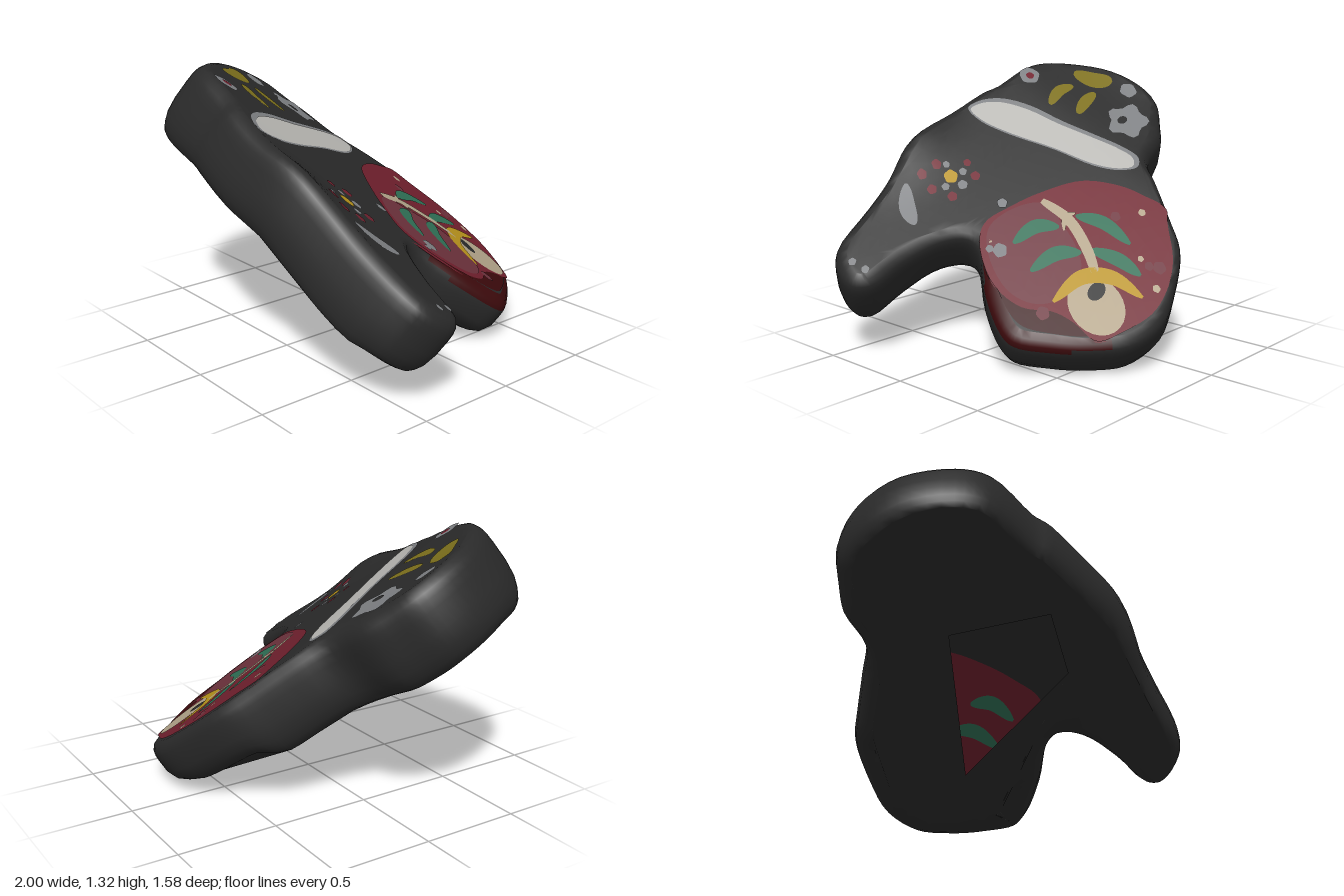
import * as THREE from 'three';
import { mergeVertices } from 'three/addons/utils/BufferGeometryUtils.js';

const mat = (name, color) => {
  const m = new THREE.MeshStandardMaterial({ color, side: THREE.DoubleSide });
  m.name = name;
  return m;
};

// Tilted upper face: a plane that sags at the left lobe and swells at the front rim
const N = new THREE.Vector3(0.52, 1, -0.55).normalize();
const height = (x, z) => 0.78 - 0.52 * x + 0.55 * z
  - 0.045 * THREE.MathUtils.smoothstep(-x, 0.3, 0.8)
  + 0.07 * Math.exp(-((x - 0.37) ** 2) / 0.05 - ((z - 0.66) ** 2) / 0.03);
const onFace = (x, z, lift = 0) => new THREE.Vector3(x, height(x, z), z).addScaledVector(N, lift);

// Smooth closed loop through [x, z] points
function loop(pts, count) {
  const c = new THREE.CatmullRomCurve3(pts.map(p => new THREE.Vector3(p[0], 0, p[1])), true, 'centripetal');
  return c.getPoints(count).slice(0, count).map(v => [v.x, v.z]);
}

function ellipse(x, z, rx, rz, wobble = 0) {
  return Array.from({ length: 24 }, (_, i) => {
    const a = i / 24 * Math.PI * 2, r = 1 + wobble * Math.sin(a * 5 + x * 9);
    return [x + rx * r * Math.cos(a), z + rz * r * Math.sin(a)];
  });
}

// Brush stroke: a ribbon along a path, with rounded or pointed ends
function stroke(pts, width, power = 0.5) {
  const c = new THREE.CatmullRomCurve3(pts.map(p => new THREE.Vector3(p[0], 0, p[1])));
  const a = [], b = [], n = 20;
  for (let i = 0; i <= n; i++) {
    const p = c.getPoint(i / n), t = c.getTangent(i / n);
    const w = width / 2 * Math.pow(Math.max(0.03, Math.sin(Math.PI * i / n)), power);
    a.push([p.x - t.z * w, p.z + t.x * w]);
    b.unshift([p.x + t.z * w, p.z - t.x * w]);
  }
  return [...a, ...b];
}

// Triangles of a flat outline, all turned to face up (or down)
function fill(contour, holes, up) {
  const v = l => l.map(p => new THREE.Vector2(p[0], p[1]));
  const all = [...contour, ...holes.flat()];
  return THREE.ShapeUtils.triangulateShape(v(contour), holes.map(v)).map(([a, b, c]) => {
    const [A, B, C] = [all[a], all[b], all[c]];
    const cross = (B[0] - A[0]) * (C[1] - A[1]) - (B[1] - A[1]) * (C[0] - A[0]);
    return (cross < 0) === up ? [a, b, c] : [a, c, b];
  });
}

// Halves the longest edge until the triangle is small enough to follow the face
function split(a, b, c, out) {
  const len = (p, q) => Math.hypot(p[0] - q[0], p[1] - q[1]);
  const ab = len(a, b), bc = len(b, c), ca = len(c, a), max = Math.max(ab, bc, ca);
  if (max < 0.1) out.push(a, b, c);
  else if (max > ab) split(b, c, a, out);
  else {
    const m = [(a[0] + b[0]) / 2, (a[1] + b[1]) / 2];
    split(a, m, c, out);
    split(m, b, c, out);
  }
}

function faceTriangles(outline) {
  const out = [];
  fill(outline, [], true).forEach(([a, b, c]) => split(outline[a], outline[b], outline[c], out));
  return out;
}

function makeGeometry(points, index) {
  let g = new THREE.BufferGeometry().setFromPoints(points);
  g.setIndex(index);
  g = mergeVertices(g, 1e-5);
  g.computeVertexNormals();
  return g;
}

const OUTLINE = [
  [0.13, -0.82], [0.31, -0.78], [0.45, -0.67], [0.58, -0.53], [0.68, -0.39], [0.68, -0.31],
  [0.61, -0.15], [0.49, 0.02], [0.49, 0.09], [0.58, 0.165], [0.78, 0.225], [0.96, 0.245],
  [1.03, 0.31], [1.03, 0.41], [0.97, 0.5], [0.73, 0.56], [0.57, 0.59], [0.41, 0.64],
  [0.16, 0.665], [-0.14, 0.65], [-0.24, 0.62], [-0.49, 0.595], [-0.64, 0.51], [-0.81, 0.31],
  [-0.875, 0.10], [-0.855, -0.05], [-0.77, -0.14], [-0.68, -0.21], [-0.50, -0.26],
  [-0.41, -0.39], [-0.32, -0.53], [-0.22, -0.67], [-0.06, -0.76]];

// Rounded edge of the slab: [inset, depth] from top to bottom
const EDGE = [[0.07, 0], [0.035, 0.012], [0.012, 0.04], [0.003, 0.07], [0, 0.11], [0, 0.2],
  [0.012, 0.27], [0.035, 0.315], [0.06, 0.345], [0.09, 0.36]];

// Edge character around the rim: [x, z, depth, lower rounding, upper rounding]
const RIM = [
  [0.66, -0.3, 0.79, 2, 1], [0.3, -0.78, 0.77, 1.5, 0.8], [-0.1, -0.74, 0.8, 1.3, 0.5],
  [-0.36, -0.46, 1.04, 1, 0.5], [-0.65, -0.21, 1.13, 1, 1], [-0.88, 0.1, 1.1, 1, 0.7],
  [-0.6, 0.56, 1.15, 0.8, 0.8], [0.1, 0.66, 1.05, 0.9, 0.9], [0.7, 0.56, 1.04, 0.6, 0.9],
  [1.03, 0.38, 0.94, 0.8, 0.9], [0.49, 0.06, 0.87, 1, 0.8]];

function rimAt(p) {
  const sum = [0, 0, 0];
  let total = 0;
  for (const [x, z, ...v] of RIM) {
    const w = 1 / (((p.x - x) ** 2 + (p.z - z) ** 2) ** 2 + 1e-4);
    total += w;
    v.forEach((k, i) => { sum[i] += k * w; });
  }
  return sum.map(s => s / total);
}

function bodyGeometry() {
  const n = 132, base = loop(OUTLINE, n).map(p => onFace(p[0], p[1]));
  const pts = [];
  for (const [inset, depth] of EDGE) {
    base.forEach((p, i) => {
      const t = base[(i + 1) % n].clone().sub(base[(i + n - 1) % n]).normalize();
      const [deep, low, high] = rimAt(p);
      const q = p.clone().addScaledVector(N.clone().cross(t), -inset * (depth > 0.15 ? low : high));
      pts.push(onFace(q.x, q.z, -depth * deep));
    });
  }
  const plain = [], painted = [];
  for (let r = 0; r < EDGE.length - 1; r++) {
    for (let i = 0; i < n; i++) {
      const j = (i + 1) % n, a = r * n + i, b = r * n + j, c = a + n, d = b + n;
      const { x, z } = base[i];
      const rim = x > 0.36 && z < -0.04 && r < (x > 0.5 && z < -0.12 ? 3 : 2);
      (rim ? painted : plain).push(a, b, c, b, d, c);
    }
  }
  const flat = l => l.map(p => [p.x, p.z]);
  const last = (EDGE.length - 1) * n;
  // underside with a four-cornered opening
  const hole = [[-0.4, 0.22], [-0.12, 0.61], [0.12, 0.5], [0.09, -0.17]];
  const bottom = fill(flat(pts.slice(last)), [hole], false);
  hole.forEach(([x, z]) => pts.push(new THREE.Vector3(x, 0.78 - 0.36 / N.y - 0.52 * x + 0.55 * z, z)));
  bottom.forEach(t => plain.push(...t.map(k => k + last)));
  // upper face
  faceTriangles(flat(pts.slice(0, n))).forEach(([x, z]) => plain.push(pts.push(onFace(x, z)) - 1));
  const g = makeGeometry(pts, [...plain, ...painted]);
  g.addGroup(0, plain.length, 0);
  g.addGroup(plain.length, painted.length, 1);
  return g;
}

export function createModel() {
  const charcoal = mat('charcoal', 0x2a2a2a), white = mat('white', 0xb9b8b4), grey = mat('grey', 0x7e8083);
  const crimson = mat('crimson', 0x70202d), dusty = mat('dustyRed', 0x6d323c), dark = mat('darkRed', 0x3c0a0c);
  const beige = mat('beige', 0xb3a48a), green = mat('green', 0x2f7056);
  const olive = mat('olive', 0x7d701c), gold = mat('gold', 0xb8931c);

  const model = new THREE.Group();
  const content = new THREE.Group();
  content.name = 'paintedStone';
  model.add(content);

  const add = (name, geometry, material) => {
    const m = new THREE.Mesh(geometry, material);
    m.name = name;
    content.add(m);
  };
  const paint = (name, outline, material, layer = 1, inside = false) => {
    const tris = faceTriangles(outline), index = tris.map((_, i) => i);
    const at = lift => makeGeometry(tris.map(p => onFace(p[0], p[1], lift)), index);
    add(name, at(0.001 + layer * 0.002), material);
    if (inside) add(name + 'Inside', at(-0.001 - layer * 0.002), material);
  };
  const dots = (name, list, r, material, layer = 1) =>
    list.forEach(([x, z, s = 1]) => paint(name, ellipse(x, z, r * s, r * s, 0.06), material, layer));

  add('stone', bodyGeometry(), [charcoal, dark]);

  // Red field with its darker border
  paint('fieldBorder', loop([[0.34, -0.7], [0.43, -0.62], [0.54, -0.49], [0.61, -0.36], [0.56, -0.17],
    [0.46, 0.0], [0.36, -0.1], [0.32, -0.5]], 60), dark, 1);
  paint('redField', loop([[-0.315, -0.5], [-0.25, -0.56], [-0.13, -0.68], [0, -0.745], [0.14, -0.765],
    [0.3, -0.72], [0.42, -0.66], [0.43, -0.54], [0.46, -0.44], [0.55, -0.32], [0.565, -0.15], [0.47, 0.03],
    [0.38, 0.08], [0.23, 0.05], [0.08, 0], [-0.13, -0.11], [-0.25, -0.27], [-0.29, -0.38]], 80), crimson, 2, true);
  paint('fieldShade', loop([[0.22, -0.4], [0.4, -0.42], [0.5, -0.35], [0.54, -0.22], [0.48, -0.04],
    [0.38, 0.05], [0.2, 0.02], [0.1, -0.06], [0.12, -0.2], [0.16, -0.32]], 50), dusty, 3);
  dots('dustySpot', [[0.5, -0.41], [-0.05, -0.66], [-0.1, -0.35, 0.8], [-0.02, -0.62, 0.7]], 0.03, dusty, 3);
  dots('beigeSpot', [[-0.21, -0.43], [-0.02, -0.57, 0.8], [0.04, -0.71], [0.14, -0.55, 0.7], [0.43, 0, 0.7]], 0.018, beige, 3);
  dots('greySpot', [[0.43, -0.07, 1.3], [0.25, 0.09], [0.46, -0.03, 0.7]], 0.026, grey, 4);

  // Fish skeleton
  [[[0.045, -0.62], [0.06, -0.5], [0.12, -0.37]], [[-0.04, -0.49], [-0.03, -0.33], [0.04, -0.21]],
    [[0.16, -0.35], [0.25, -0.27], [0.4, -0.24]], [[0.14, -0.19], [0.22, -0.11], [0.36, -0.09]]]
    .forEach(p => paint('greenRib', stroke(p, 0.07), green, 4, true));
  paint('spine', stroke([[0.2, -0.48], [0.13, -0.36], [0.08, -0.2], [0.1, -0.04]], 0.055, 0.2), beige, 4.5);
  paint('tail', stroke([[0.03, -0.2], [0.08, -0.18], [0.14, -0.22]], 0.03), beige, 5);
  paint('head', ellipse(0.3, -0.56, 0.125, 0.14), beige, 3.5);
  paint('eye', ellipse(0.25, -0.52, 0.05, 0.035), charcoal, 4);
  paint('jaw', stroke([[0.12, -0.69], [0.15, -0.53], [0.25, -0.43], [0.43, -0.41]], 0.075), gold, 4.5);

  // White bar with grey edge
  const bar = [[-0.45, -0.22], [-0.4, -0.255], [-0.32, -0.21], [-0.24, -0.1], [-0.16, 0.11], [-0.05, 0.35],
    [0, 0.51], [-0.01, 0.6], [-0.09, 0.59], [-0.185, 0.52], [-0.265, 0.38], [-0.32, 0.19], [-0.39, 0.005], [-0.44, -0.13]];
  paint('barEdge', loop(bar, 60), grey, 1);
  // shrink along and across the slanted axis of the bar
  paint('bar', loop(bar.map(([x, z]) => {
    const zz = 0.18 + (z - 0.18) * 0.96, axis = v => -0.29 + 0.43 * v;
    return [axis(zz) + (x - axis(z)) * 0.82 + 0.008, zz];
  }), 60), white, 2);

  // Marks on the left lobe
  [[[[-0.76, 0.21], [-0.68, 0.27], [-0.63, 0.38]], 0.11], [[[-0.61, 0.21], [-0.52, 0.2], [-0.42, 0.17]], 0.065],
    [[[-0.55, 0.32], [-0.46, 0.34], [-0.35, 0.31]], 0.065]]
    .forEach(([p, w]) => paint('oliveMark', stroke(p, w, 0.4), olive));
  paint('greySplash', ellipse(-0.6, -0.03, 0.115, 0.095, 0.16), grey);
  paint('splashCentre', ellipse(-0.58, -0.01, 0.032, 0.022), charcoal, 2);
  dots('greyPatch', [[-0.77, 0.1]], 0.045, grey);
  dots('ring', [[-0.41, 0.52]], 0.055, grey, 2);
  dots('ringCentre', [[-0.41, 0.515]], 0.022, crimson, 3);

  // Flower and marks on the right lobe
  dots('redPetal', [[0.24, 0.29], [0.4, 0.29], [0.22, 0.37, 0.8], [0.45, 0.385], [0.35, 0.46], [0.44, 0.47]], 0.024, crimson);
  dots('greyPetal', [[0.32, 0.3], [0.27, 0.35, 0.8], [0.39, 0.35, 0.8], [0.31, 0.43, 0.7]], 0.024, grey);
  dots('flowerCentre', [[0.335, 0.37]], 0.034, gold, 2);
  paint('greyLeaf', stroke([[0.63, 0.31], [0.6, 0.4], [0.53, 0.49]], 0.08), grey);
  dots('noseSpot', [[0.94, 0.31], [0.96, 0.38]], 0.018, grey);

  // Stand on the ground and centre
  const box = new THREE.Box3().setFromObject(content, true), c = box.getCenter(new THREE.Vector3());
  content.position.set(-c.x, -box.min.y, -c.z);
  return model;
}
